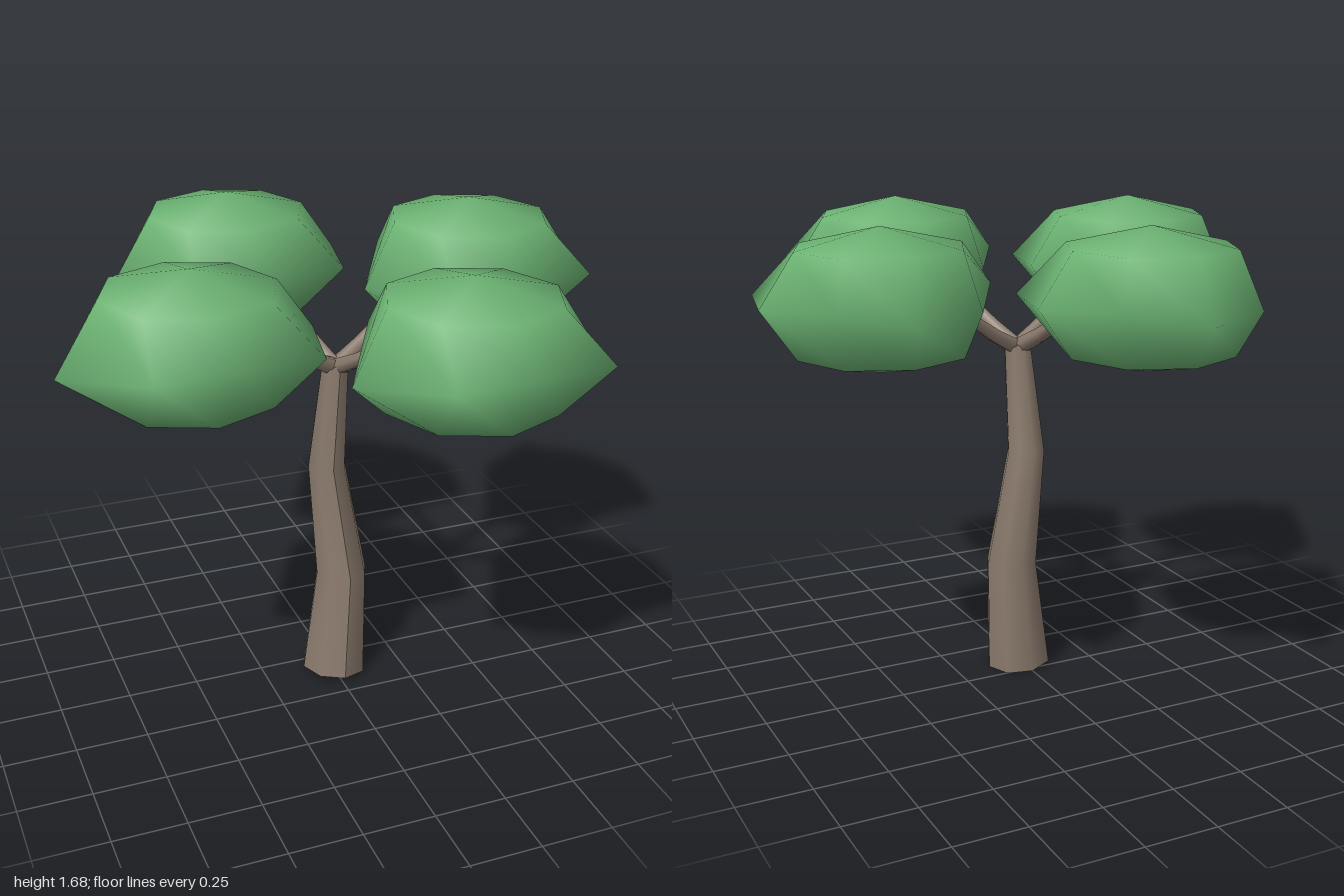
import * as THREE from 'three';
import { mergeVertices } from 'three/addons/utils/BufferGeometryUtils.js';

const bark = new THREE.MeshStandardMaterial({ color: 0x8a7a6c });
const leaf = new THREE.MeshStandardMaterial({ color: 0x6ab071 });

// Trunk cross-sections from the ground up: centre x, y, z and radius
const trunkRows = [
  [0.008, 0.015, 0.08, 0.118],
  [0.038, 0.41, 0.073, 0.093],
  [-0.01, 0.83, 0.05, 0.068],
  [0.012, 1.215, 0.073, 0.048],
];

// Widest outline of a leaf clump (x, z), counted round from +x towards +z
const outline = [
  [0.40, 0], [0.34, 0.28], [0.07, 0.30], [-0.20, 0.32],
  [-0.454, 0.153], [-0.20, -0.34], [0.08, -0.49], [0.216, -0.19],
];

// Clump centres (x, z)
const clumps = [[-0.186, -0.49], [0.589, -0.126], [-0.55, 0.29], [0.231, 0.65]];

function createTrunk() {
  const geo = new THREE.CylinderGeometry(1, 1, 3, 8, 3);
  const p = geo.attributes.position;
  for (let i = 0; i < p.count; i++) {
    const row = Math.round(p.getY(i) + 1.5);
    const [cx, cy, cz, r] = trunkRows[row];
    const x = p.getX(i) * r, z = p.getZ(i) * r;
    // the foot is cut at a slight slant
    const slant = row === 0 ? -0.1 * x + 0.04 * z : 0;
    p.setXYZ(i, cx + x, cy + slant, cz + z);
  }
  geo.computeVertexNormals();
  const mesh = new THREE.Mesh(geo, bark);
  mesh.name = 'trunk';
  return mesh;
}

// Uneven, pointed clump: round upper and lower rings, irregular middle ring
function createClumpGeometry() {
  let geo = new THREE.SphereGeometry(1, 8, 4);
  const p = geo.attributes.position;
  for (let i = 0; i < p.count; i++) {
    const x = p.getX(i), y = p.getY(i), z = p.getZ(i);
    if (Math.abs(y) > 0.9) {
      p.setXYZ(i, 0, Math.sign(y) * 0.235, 0);
    } else if (Math.abs(y) > 0.3) {
      p.setXYZ(i, x * 0.4, Math.sign(y) * 0.17, z * 0.4);
    } else {
      const k = (Math.round(Math.atan2(z, x) / (Math.PI / 4)) + 8) % 8;
      p.setXYZ(i, outline[k][0], 0, outline[k][1]);
    }
  }
  geo.deleteAttribute('uv');
  geo.deleteAttribute('normal');
  geo = mergeVertices(geo, 1e-4);
  geo.computeVertexNormals();
  return geo;
}

// Thin tapering limb from the fork into a clump, bending near its end
function createBranch([cx, cz]) {
  const [x0, , z0] = trunkRows[3];
  const at = (t, y) => new THREE.Vector3(x0 + (cx - x0) * t, y, z0 + (cz - z0) * t);
  const path = new THREE.CatmullRomCurve3([at(-0.03, 1.19), at(0.2, 1.265), at(0.4, 1.345), at(0.52, 1.38)]);
  const rows = 5, sides = 6;
  const geo = new THREE.TubeGeometry(path, rows, 1, sides, false);
  const p = geo.attributes.position;
  const v = new THREE.Vector3();
  for (let i = 0; i < p.count; i++) {
    const t = Math.floor(i / (sides + 1)) / rows;
    const c = path.getPointAt(t);
    v.fromBufferAttribute(p, i).sub(c).multiplyScalar(0.032 - 0.016 * t).add(c);
    p.setXYZ(i, v.x, v.y, v.z);
  }
  const mesh = new THREE.Mesh(geo, bark);
  mesh.name = 'branch';
  return mesh;
}

export function createModel() {
  const tree = new THREE.Group();
  tree.name = 'tree';
  tree.add(createTrunk());
  const clumpGeo = createClumpGeometry();
  for (const c of clumps) {
    tree.add(createBranch(c));
    const clump = new THREE.Mesh(clumpGeo, leaf);
    clump.name = 'leafClump';
    clump.position.set(c[0], 1.445, c[1]);
    tree.add(clump);
  }
  return tree;
}
